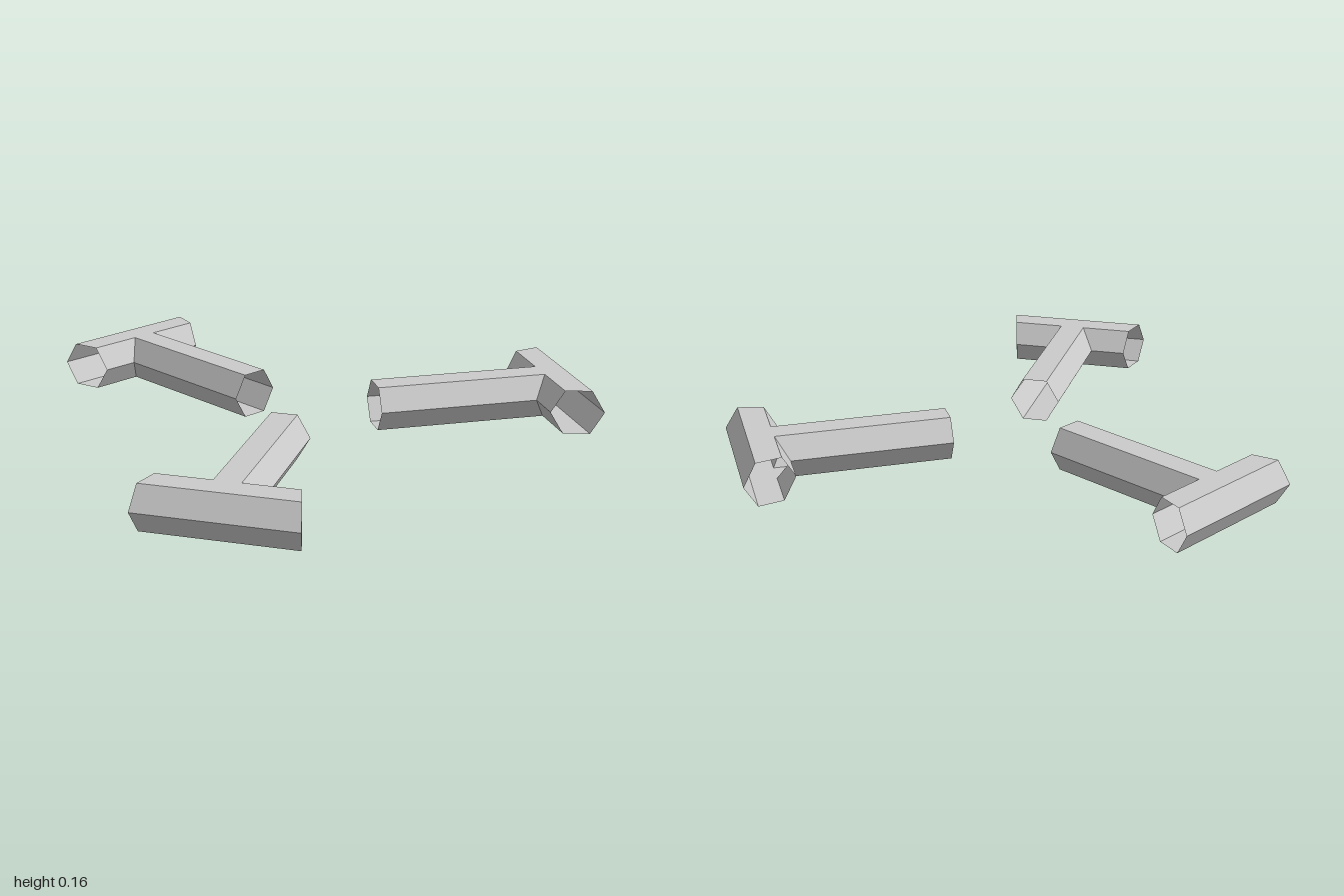
import * as THREE from 'three';

const R = 0.09;                     // hexagon radius of every tube
const H = R * Math.sqrt(3) / 2;     // half height of a tube
const BAR = 1.0005 - R;             // distance of crossbar axis from the hub
const TIP = 0.252;                  // distance of the stem's open end from the hub
const HALF = 0.267;                 // half length of the crossbar's outer edge
const HUB_Z = 0.134;

// hexagon corners as [sideways, up], flat side on top; the first three have sideways > 0
const hex = [[R / 2, H], [R, 0], [R / 2, -H], [-R / 2, -H], [-R, 0], [-R / 2, H]];

// flat quads, each given as four corners
function quadMesh(name, quads, material) {
  const positions = [];
  for (const [a, b, c, d] of quads) positions.push(...a, ...b, ...c, ...a, ...c, ...d);
  const geometry = new THREE.BufferGeometry();
  geometry.setAttribute('position', new THREE.Float32BufferAttribute(positions, 3));
  geometry.computeVertexNormals();
  const mesh = new THREE.Mesh(geometry, material);
  mesh.name = name;
  return mesh;
}

// crossbar along x: ends mitred by 15 degrees, open to the stem on its inner side
function crossbar(material) {
  const end = (s) => HALF - (s + R) * Math.tan(Math.PI / 12);
  const point = (p, x) => [x, H + p[1], -BAR + p[0]];
  const quads = [];
  hex.forEach((p, i) => {
    const q = hex[(i + 1) % 6];
    const span = (p0, q0, p1, q1) =>
      quads.push([point(p, p0), point(q, q0), point(q, q1), point(p, p1)]);
    const ep = end(p[0]), eq = end(q[0]);
    if (i < 2) {
      span(-ep, -eq, -p[0], -q[0]);
      span(p[0], q[0], ep, eq);
    } else {
      span(-ep, -eq, ep, eq);
    }
  });
  return quadMesh('crossbar', quads, material);
}

// stem along z, cut to meet the crossbar along its mitred seam
function stem(material) {
  const tip = (p) => [p[0], H + p[1], -TIP];
  const joint = (p) => [p[0], H + p[1], -BAR + Math.abs(p[0])];
  const quads = hex.map((p, i) => {
    const q = hex[(i + 1) % 6];
    return [tip(p), tip(q), joint(q), joint(p)];
  });
  return quadMesh('stem', quads, material);
}

export function createModel() {
  const model = new THREE.Group();
  model.name = 'corridorRing';
  const material = new THREE.MeshStandardMaterial({
    color: 0xcccccc, flatShading: true, side: THREE.DoubleSide,
  });
  // three T-shaped tubes around the hub
  ['backJunction', 'leftJunction', 'rightJunction'].forEach((name, i) => {
    const junction = new THREE.Group();
    junction.name = name;
    junction.add(crossbar(material), stem(material));
    junction.rotation.y = -i * Math.PI * 2 / 3;
    junction.position.z = HUB_Z;
    model.add(junction);
  });
  return model;
}
